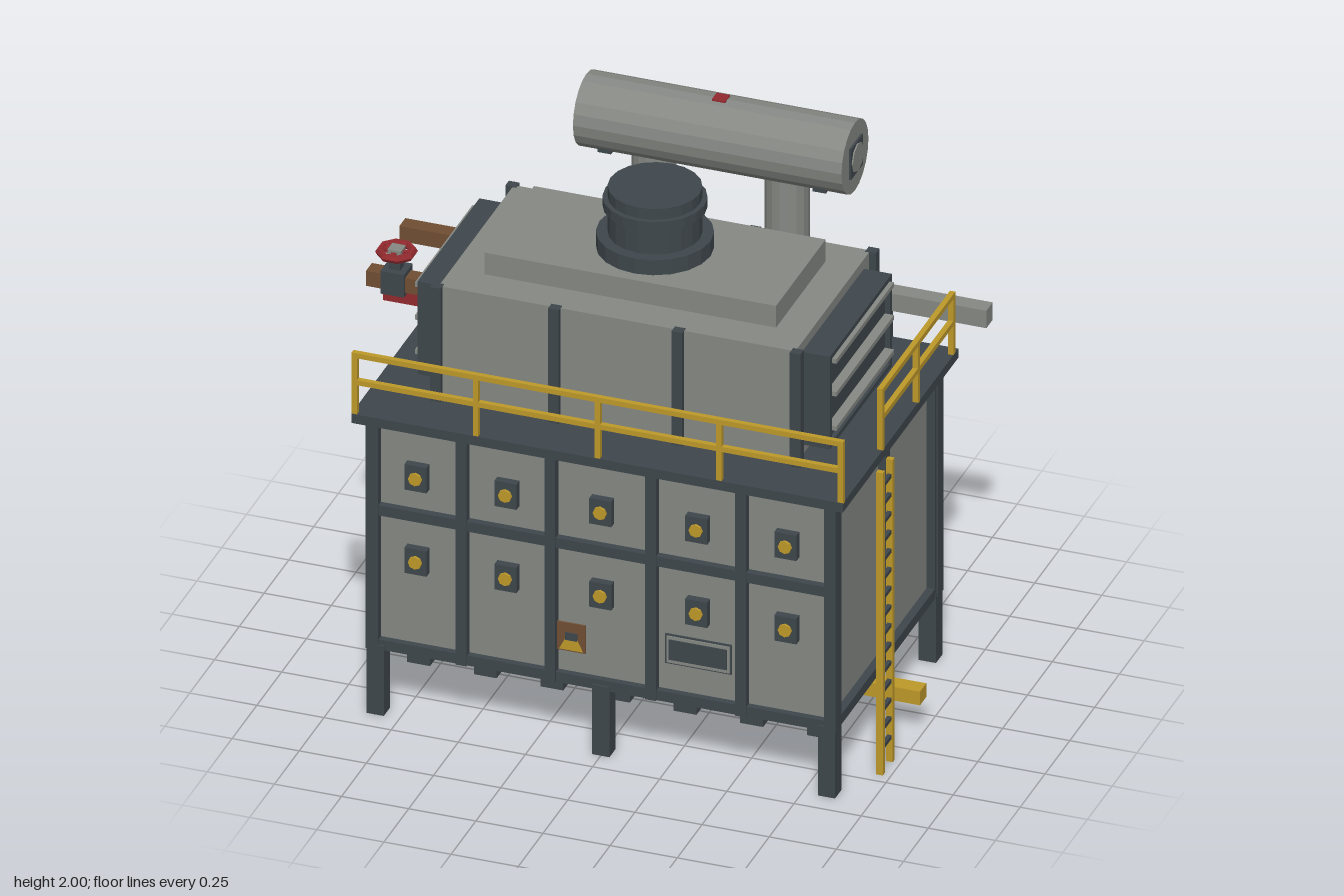
import * as THREE from 'three';

export function createModel() {
  const root = new THREE.Group();
  root.name = 'industrialFurnace';
  const mat = (name, color) => {
    const m = new THREE.MeshStandardMaterial({ color, flatShading: true });
    m.name = name;
    return m;
  };
  const steel = mat('dark steel', 0x3f474c);
  const grey = mat('panel grey', 0x858883);
  const yellow = mat('safety yellow', 0xbd992a);
  const red = mat('red', 0x912a2e);
  const brown = mat('pipe brown', 0x704e33);

  const group = (name) => {
    const g = new THREE.Group();
    g.name = name;
    root.add(g);
    return g;
  };
  const add = (parent, name, geo, material, x, y, z) => {
    const m = new THREE.Mesh(geo, material);
    m.name = name;
    m.position.set(x, y, z);
    parent.add(m);
    return m;
  };
  // Box given by its extents on each axis
  const box = (parent, name, material, [x0, x1], [y0, y1], [z0, z1]) =>
    add(parent, name, new THREE.BoxGeometry(x1 - x0, y1 - y0, z1 - z0), material,
      (x0 + x1) / 2, (y0 + y1) / 2, (z0 + z1) / 2);
  // Upright cylinder between two heights
  const drum = (parent, name, material, r, y0, y1, x, z, sides = 20) =>
    add(parent, name, new THREE.CylinderGeometry(r, r, y1 - y0, sides), material, x, (y0 + y1) / 2, z);
  const around = (c, w) => [c - w / 2, c + w / 2];
  const ZC = 0.125; // centre of the furnace in depth

  // Main furnace casing
  const casing = group('furnaceCasing');
  box(casing, 'casingBody', grey, [-0.84, 0.84], [0.29, 1.18], [-0.385, 0.635]);
  box(casing, 'casingFloor', steel, [-0.87, 0.87], [0.26, 0.3], [-0.41, 0.66]);
  for (const side of [1, -1]) {
    const face = ZC + side * 0.515;
    for (const x of [-0.855, -0.52, -0.19, 0.185, 0.52, 0.855])
      box(casing, 'wallColumn', steel, around(x, 0.04), [0.26, 1.18], around(face, 0.055));
    box(casing, 'middleRail', steel, [-0.87, 0.87], [0.8, 0.84], around(face, 0.045));
    box(casing, 'topRail', steel, [-0.87, 0.87], [1.165, 1.18], around(face, 0.045));
    // Inspection doors
    for (const x of [-0.69, -0.355, -0.002, 0.355, 0.687])
      for (const y of [0.977, 0.642]) {
        box(casing, 'inspectionDoor', steel, around(x, 0.082), around(y, 0.102), around(face + side * 0.012, 0.03));
        const port = add(casing, 'sightPort', new THREE.CylinderGeometry(0.025, 0.025, 0.012, 8),
          yellow, x, y, face + side * 0.031);
        port.rotation.x = Math.PI / 2;
      }
  }
  for (const s of [1, -1]) {
    for (const z of [0.63, ZC, -0.38])
      box(casing, 'sideColumn', steel, around(s * 0.85, 0.04), [0.26, 1.18], around(z, z === ZC ? 0.04 : 0.07));
  }

  // Legs
  const legs = group('legs');
  for (const x of [-0.84, 0, 0.84])
    for (const z of [0.635, -0.383])
      box(legs, 'leg', steel, around(x, 0.064), [0, 0.28], around(z, 0.064));

  // Warning plate and data plate
  const signs = group('signs');
  box(signs, 'warningPlate', brown, [-0.17, -0.065], [0.385, 0.497], [0.64, 0.647]);
  const tri = new THREE.Shape([[-0.045, -0.05], [0.045, -0.05], [0.02, 0], [-0.02, 0]]
    .map(([x, y]) => new THREE.Vector2(x, y)));
  add(signs, 'warningPatch', new THREE.ShapeGeometry(tri), yellow, -0.117, 0.44, 0.649);
  box(signs, 'warningMark', steel, [-0.14, -0.095], [0.43, 0.46], [0.646, 0.651]);
  box(signs, 'dataPlateEdge', steel, [0.23, 0.477], [0.405, 0.523], [0.634, 0.641]);
  box(signs, 'dataPlate', grey, [0.236, 0.471], [0.411, 0.517], [0.636, 0.645]);
  box(signs, 'dataPlateField', steel, [0.245, 0.462], [0.425, 0.505], [0.642, 0.649]);

  // Floor burners with the fuel line between the two rows
  const burners = group('floorBurners');
  box(burners, 'fuelLine', yellow, [-0.915, 1], [0.127, 0.182], [0.093, 0.157]);
  for (let i = 0; i < 7; i++) {
    const x = -0.78 + i * 0.248;
    for (const z of [-0.083, 0.333]) {
      box(burners, 'burnerStem', steel, around(x, 0.058), [0.1, 0.27], around(z, 0.075));
      box(burners, 'burnerBase', steel, around(x, 0.085), [0.067, 0.11], around(z, 0.117));
    }
    box(burners, 'fuelBranch', yellow, around(x, 0.025), [0.13, 0.155], [-0.05, 0.3]);
  }

  // Walkway deck and rear platform
  const deck = group('walkway');
  box(deck, 'deck', steel, [-0.915, 0.915], [1.178, 1.215], [-0.46, 0.705]);
  box(deck, 'rearPlatform', steel, [-0.58, 0.58], [1.155, 1.19], [-0.71, -0.41]);
  for (const x of [-0.55, 0.55])
    box(deck, 'platformLeg', steel, around(x, 0.062), [0, 1.16], [-0.705, -0.641]);

  // Handrails on the front and the left side
  const rails = group('handrails');
  for (const x of [-0.905, -0.453, 0, 0.453, 0.905])
    box(rails, 'frontPost', yellow, around(x, 0.02), [1.21, 1.46], around(0.693, 0.02));
  for (const z of [0.295, -0.062, -0.42])
    box(rails, 'sidePost', yellow, around(0.905, 0.02), [1.21, 1.46], around(z, 0.02));
  for (const y of [1.45, 1.342]) {
    box(rails, 'frontRail', yellow, [-0.915, 0.915], around(y, 0.02), around(0.693, 0.02));
    box(rails, 'sideRail', yellow, around(0.905, 0.02), around(y, 0.02), [-0.43, 0.305]);
  }

  // Ladder
  const ladder = group('ladder');
  for (const z of [0.347, 0.447])
    box(ladder, 'stringer', yellow, around(0.96, 0.025), [0, 1.215], around(z, 0.02));
  for (let i = 0; i < 15; i++)
    box(ladder, 'rung', steel, around(0.96, 0.015), around(0.1 + i * 0.075, 0.016), [0.35, 0.445]);

  // Upper convection housing
  const upper = group('upperHousing');
  box(upper, 'housing', grey, [-0.664, 0.664], [1.21, 1.67], [-0.255, 0.503]);
  box(upper, 'hoodStep', grey, [-0.543, 0.543], [1.66, 1.757], [-0.13, 0.37]);
  for (const z of [-0.257, 0.505])
    for (const x of [-0.67, -0.23, 0.23, 0.67])
      box(upper, 'housingColumn', steel, around(x, 0.04), [1.21, 1.672], around(z, 0.036));

  // Framed end boxes with horizontal slats
  for (const s of [1, -1]) {
    const end = group('louvreBox');
    end.scale.x = 1;
    const span = (a, b) => (s > 0 ? [a, b] : [-b, -a]);
    box(end, 'louvreBack', steel, span(0.66, 0.75), [1.26, 1.632], [-0.188, 0.437]);
    for (const y of [1.27, 1.622])
      box(end, 'louvreFrame', steel, span(0.74, 0.768), around(y, 0.02), [-0.188, 0.437]);
    for (const z of [-0.178, 0.427])
      box(end, 'louvreFrame', steel, span(0.74, 0.768), [1.26, 1.632], around(z, 0.02));
    for (const y of [1.605, 1.473, 1.335])
      box(end, 'louvreSlat', grey, span(0.74, 0.785), around(y, 0.018), [-0.165, 0.415]);
  }

  // Exhaust stack
  const stack = group('exhaustStack');
  drum(stack, 'stackFlange', steel, 0.207, 1.755, 1.817, 0, 0.12);
  drum(stack, 'stackBarrel', steel, 0.166, 1.81, 2, 0, 0.12);
  drum(stack, 'stackRing', steel, 0.184, 1.92, 1.957, 0, 0.12);

  // Rear header drum on two risers
  const header = group('headerDrum');
  const shell = add(header, 'drumShell', new THREE.CylinderGeometry(0.136, 0.136, 1, 20), grey, 0, 1.861, -0.542);
  shell.rotation.z = Math.PI / 2;
  box(header, 'manholeFrame', steel, [0.49, 0.508], [1.8, 1.922], [-0.602, -0.482]);
  const hatch = add(header, 'manholeCover', new THREE.CylinderGeometry(0.055, 0.055, 0.01, 8), grey, 0.508, 1.861, -0.542);
  hatch.rotation.z = Math.PI / 2;
  box(header, 'topMarker', red, around(0, 0.05), [1.985, 2], around(-0.545, 0.05));
  for (const x of [-0.4, 0.4])
    box(header, 'saddle', steel, around(x, 0.05), [1.745, 1.775], around(-0.542, 0.18));
  for (const x of [-0.248, 0.248]) {
    drum(header, 'riser', grey, 0.079, 1.185, 1.8, x, -0.542, 16);
    drum(header, 'riserCollar', steel, 0.094, 1.4, 1.442, x, -0.542, 16);
    box(header, 'crossDuct', grey, around(x, 0.072), [1.195, 1.268], [-0.5, -0.25]);
  }
  box(header, 'outletDuct', grey, [0.25, 1], [1.285, 1.355], [-0.577, -0.513]);

  // Side pipes and hand valve
  const pipes = group('sidePipes');
  box(pipes, 'redPipe', red, [-1, -0.74], [1.362, 1.428], [0.092, 0.157]);
  for (const z of [-0.04, 0.297])
    box(pipes, 'brownPipe', brown, [-1, -0.74], [1.51, 1.57], around(z, 0.06));
  box(pipes, 'valveBody', steel, around(-0.898, 0.088), [1.497, 1.588], around(0.295, 0.088));
  box(pipes, 'valveStem', steel, around(-0.898, 0.042), [1.58, 1.645], around(0.295, 0.042));
  const wheel = add(pipes, 'handWheel', new THREE.TorusGeometry(0.06, 0.015, 6, 8), red, -0.898, 1.652, 0.295);
  wheel.rotation.set(Math.PI / 2, 0, Math.PI / 8);
  box(pipes, 'wheelSpoke', red, around(-0.898, 0.12), [1.644, 1.66], around(0.295, 0.018));
  box(pipes, 'wheelSpoke', red, around(-0.898, 0.018), [1.644, 1.66], around(0.295, 0.12));
  box(pipes, 'wheelHub', grey, around(-0.898, 0.05), [1.64, 1.668], around(0.295, 0.05));
  return root;
}
